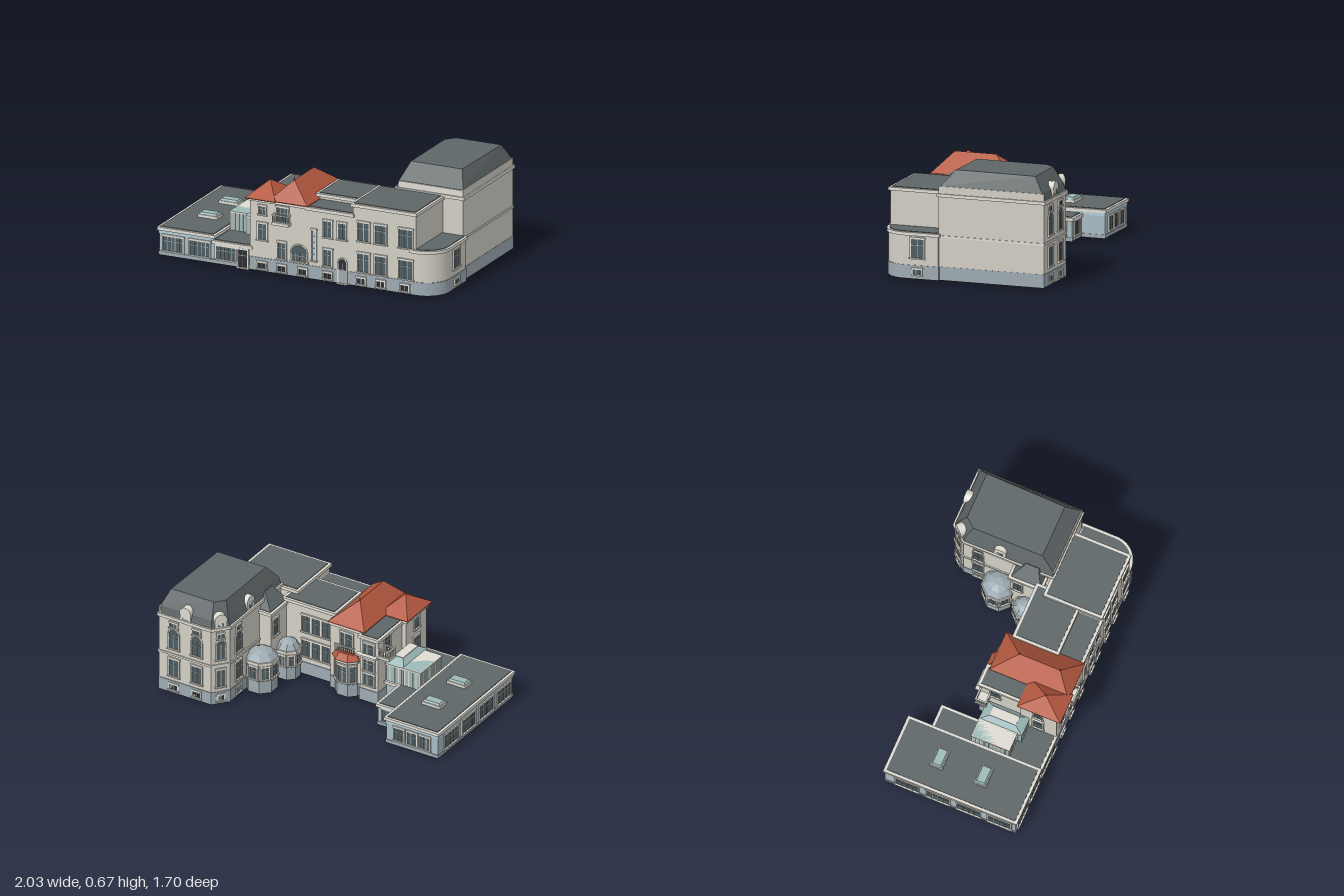
import * as THREE from 'three';

const mat = (color, extra = {}) => new THREE.MeshStandardMaterial({ color, ...extra });
const M = {
  wall: mat(0xd3cfc5), trim: mat(0xdedcd3), plinth: mat(0x9dabb2), slate: mat(0x5f6668), rust: mat(0xb4583f),
  glass: mat(0x4d5d63), bar: mat(0xa9b0ae), dark: mat(0x2b3032), base: mat(0x4b5052),
  annex: mat(0xa9bcc4), pane: mat(0x9dbab8), band: mat(0xb3cdd6),
};
const unit = new THREE.BoxGeometry(1, 1, 1);

// footprint helpers: corners run front-left, front-right, back-right, back-left
const rect = (u0, u1, v0, v1) => [[u0, v1], [u1, v1], [u1, v0], [u0, v0]];
const ngon = (cu, cv, r, n = 8) => Array.from({ length: n }, (_, i) => {
  const t = (i + 0.5) / n * Math.PI * 2;
  return [cu + r * Math.cos(t), cv - r * Math.sin(t)];
});
function grow(poly, d) {
  const n = poly.length;
  const normal = (a, b) => {
    const l = Math.hypot(b[0] - a[0], b[1] - a[1]);
    return [-(b[1] - a[1]) / l, (b[0] - a[0]) / l];
  };
  return poly.map((p, i) => {
    const a = normal(poly[(i + n - 1) % n], p), b = normal(p, poly[(i + 1) % n]);
    const k = d / (1 + a[0] * b[0] + a[1] * b[1]);
    return [p[0] + (a[0] + b[0]) * k, p[1] + (a[1] + b[1]) * k];
  });
}

export function createModel() {
  const model = new THREE.Group(), site = new THREE.Group();
  site.name = 'building';
  site.rotation.y = THREE.MathUtils.degToRad(23.2);
  model.add(site);

  function box(name, m, u, y, v, w, h, d, parent = site) {
    const b = new THREE.Mesh(unit, m);
    b.name = name;
    b.position.set(u, y, v);
    b.scale.set(w, h, d);
    parent.add(b);
    return b;
  }
  // solid skinned over stacked footprints [[polygon, height], ...]
  function loft(name, m, rings) {
    const pos = [], n = rings[0][0].length;
    const P = (r, i) => [rings[r][0][i % n][0], rings[r][1], rings[r][0][i % n][1]];
    for (let r = 0; r + 1 < rings.length; r++) for (let i = 0; i < n; i++)
      pos.push(...P(r, i), ...P(r, i + 1), ...P(r + 1, i + 1), ...P(r, i), ...P(r + 1, i + 1), ...P(r + 1, i));
    const t = rings.length - 1;
    for (let i = 1; i < n - 1; i++)
      pos.push(...P(t, 0), ...P(t, i), ...P(t, i + 1), ...P(0, 0), ...P(0, i + 1), ...P(0, i));
    const g = new THREE.BufferGeometry();
    g.setAttribute('position', new THREE.Float32BufferAttribute(pos, 3));
    g.computeVertexNormals();
    const mesh = new THREE.Mesh(g, m);
    mesh.name = name;
    site.add(mesh);
  }
  const prism = (name, m, poly, y0, y1) => loft(name, m, [[poly, y0], [poly, y1]]);
  // wing with foundation, plinth, walls, cornice and flat roof
  function wing(name, poly, h, { wall = M.wall, plinth = M.plinth, py = 0.085, roof = true } = {}) {
    prism(name + 'Foundation', M.base, poly, 0, 0.005);
    prism(name + 'Plinth', plinth, grow(poly, 0.004), 0.005, py);
    prism(name + 'Walls', wall, poly, py, h - 0.02);
    prism(name + 'Cornice', M.trim, grow(poly, 0.011), h - 0.02, h);
    if (roof) prism(name + 'Roof', M.slate, grow(poly, -0.006), h, h + 0.004);
  }
  const FRONT = 0, BACK = Math.PI, LEFT = -Math.PI / 2, RIGHT = Math.PI / 2;
  // window on a wall: y is its sill, w x h its opening
  function win(rot, u, v, y, w, h, cols = 2, { arch = false, m = M.glass, name = 'window', rows = [0.68] } = {}) {
    const g = new THREE.Group();
    g.name = name;
    g.position.set(u, y, v);
    g.rotation.y = rot;
    site.add(g);
    box('pane', m, 0, h / 2, 0, w, h, 0.008, g);
    for (const s of [-1, 1]) box('jamb', M.trim, s * (w / 2 + 0.004), h / 2, 0, 0.008, h, 0.018, g);
    box('sill', M.trim, 0, -0.004, 0.002, w + 0.024, 0.008, 0.024, g);
    for (let i = 1; i < cols; i++) box('mullion', M.bar, w * (i / cols - 0.5), h / 2, 0.002, 0.004, h, 0.011, g);
    for (const r of rows) box('transom', M.bar, 0, h * r, 0.002, w, 0.004, 0.011, g);
    if (arch) {
      const a = new THREE.Mesh(new THREE.CircleGeometry(w / 2, 16, 0, Math.PI), m);
      const b = new THREE.Mesh(new THREE.TorusGeometry(w / 2 + 0.003, 0.006, 4, 16, Math.PI), M.trim);
      a.position.set(0, h, 0.004);
      b.position.set(0, h, 0.003);
      a.name = 'archPane';
      b.name = 'archTrim';
      g.add(a, b);
    } else box('lintel', M.trim, 0, h + 0.006, 0, w + 0.02, 0.012, 0.02, g);
  }
  // straight railing between two plan points
  function rail(a, b, y, h = 0.045) {
    const n = Math.ceil(Math.hypot(b[0] - a[0], b[1] - a[1]) / 0.015);
    for (let i = 0; i <= n; i++)
      box('baluster', M.trim, a[0] + (b[0] - a[0]) * i / n, y + h / 2, a[1] + (b[1] - a[1]) * i / n, 0.005, h, 0.005);
    box('handrail', M.trim, (a[0] + b[0]) / 2, y + h, (a[1] + b[1]) / 2,
      Math.abs(b[0] - a[0]) + 0.01, 0.007, Math.abs(b[1] - a[1]) + 0.01);
  }
  function balcony(u0, u1, v0, v1, y, sides) {
    box('balconyFloor', M.trim, (u0 + u1) / 2, y - 0.01, (v0 + v1) / 2, u1 - u0, 0.018, v1 - v0);
    const c = rect(u0 + 0.005, u1 - 0.005, v0 + 0.005, v1 - 0.005);
    for (const s of sides) rail(c[s], c[(s + 1) % 4], y);
  }

  // low annex with skylights
  const blue = { wall: M.annex, plinth: M.plinth, py: 0.025 };
  wing('annex', rect(-0.94, -0.577, -0.343, 0.504), 0.178, blue);
  prism('annexBand', M.band, grow(rect(-0.94, -0.577, -0.343, 0.504), 0.003), 0.138, 0.158);
  for (const v of [-0.2, 0.0, 0.2, 0.4]) win(LEFT, -0.94, v, 0.035, 0.145, 0.09, 4);
  for (const u of [-0.845, -0.668]) win(FRONT, u, 0.504, 0.035, 0.13, 0.09, 5);
  for (const u of [-0.85, -0.76, -0.67]) win(BACK, u, -0.343, 0.04, 0.065, 0.085, 3);
  for (const v of [-0.07, 0.214]) {
    const r = rect(-0.81, -0.68, v - 0.04, v + 0.04);
    prism('skylightCurb', M.trim, r, 0.178, 0.2);
    loft('skylightGlass', M.pane, [[grow(r, -0.006), 0.2], [grow(r, -0.014), 0.212]]);
  }
  // low link between annex and tower
  wing('rearLink', rect(-0.577, -0.425, -0.192, 0.504), 0.147, blue);
  wing('frontLink', rect(-0.5, -0.33, 0.06, 0.504), 0.147, blue);
  win(FRONT, -0.494, 0.504, 0.035, 0.13, 0.08, 5);
  win(FRONT, -0.38, 0.506, 0.006, 0.06, 0.11, 2, { m: M.dark, name: 'linkDoor' });
  win(BACK, -0.5, -0.192, 0.035, 0.08, 0.085, 3);
  win(RIGHT, -0.425, -0.1, 0.035, 0.1, 0.085, 3);

  // glazed conservatory on the link roof
  function glassHouse(u0, u1, v0, v1, y0, y1) {
    const r = rect(u0, u1, v0, v1);
    prism('conservatoryGlass', M.pane, r, y0, y1);
    r.forEach((a, i) => {
      const b = r[(i + 1) % 4], n = Math.round(Math.hypot(b[0] - a[0], b[1] - a[1]) / 0.028);
      for (let k = 0; k < n; k++)
        box('glazingBar', M.trim, a[0] + (b[0] - a[0]) * k / n, (y0 + y1) / 2, a[1] + (b[1] - a[1]) * k / n, 0.006, y1 - y0, 0.006);
    });
    prism('conservatoryEave', M.trim, grow(r, 0.005), y1 - 0.01, y1);
  }
  glassHouse(-0.565, -0.43, 0.06, 0.3, 0.15, 0.272);
  glassHouse(-0.445, -0.325, 0.06, 0.33, 0.15, 0.268);
  loft('lanternRoof', M.pane, [[rect(-0.45, -0.32, 0.055, 0.335), 0.268], [rect(-0.415, -0.355, 0.11, 0.28), 0.303]]);
  box('lanternCap', M.trim, -0.385, 0.304, 0.195, 0.06, 0.006, 0.17);

  // tower with red hipped roofs
  wing('tower', rect(-0.185, 0.045, 0.03, 0.508), 0.458, { roof: false });
  wing('towerWing', rect(-0.333, -0.18, 0.275, 0.508), 0.458, { roof: false });
  wing('towerRear', rect(-0.305, -0.18, 0, 0.28), 0.45);
  loft('mainRoof', M.rust, [[rect(-0.2, 0.058, 0.016, 0.53), 0.455], [rect(-0.2, 0.058, 0.016, 0.53), 0.46],
    [[[-0.08, 0.425], [-0.08, 0.425], [-0.08, 0.16], [-0.08, 0.16]], 0.577]]);
  loft('sideRoof', M.rust, [[rect(-0.352, -0.15, 0.26, 0.542), 0.455], [rect(-0.352, -0.15, 0.26, 0.542), 0.46],
    [Array(4).fill([-0.25, 0.404]), 0.55]]);
  for (const [u, v, y] of [[-0.08, 0.425, 0.58], [-0.08, 0.16, 0.58], [-0.25, 0.404, 0.553]]) {
    const f = new THREE.Mesh(new THREE.ConeGeometry(0.005, 0.035, 6), M.rust);
    f.name = 'finial';
    f.position.set(u, y + 0.008, v);
    site.add(f);
  }
  const F = 0.508;
  win(FRONT, -0.25, F, 0.2, 0.055, 0.1);
  win(FRONT, -0.25, F, 0.36, 0.04, 0.05);
  win(FRONT, -0.115, F, 0.32, 0.07, 0.1, 3);
  balcony(-0.17, -0.06, F, 0.55, 0.335, [3, 0, 1]);
  win(FRONT, -0.12, F, 0.1, 0.045, 0.1);
  win(FRONT, -0.005, F, 0.1, 0.1, 0.05, 4, { arch: true, name: 'archWindow' });
  win(LEFT, -0.333, 0.39, 0.19, 0.06, 0.1);
  win(LEFT, -0.333, 0.39, 0.35, 0.05, 0.07);
  win(LEFT, -0.305, 0.1, 0.34, 0.06, 0.09);
  balcony(-0.385, -0.3, 0, 0.075, 0.34, [3, 0, 2]);
  for (const y of [0.12, 0.22, 0.33]) win(BACK, -0.245, 0, y, 0.07, 0.075, 3);
  box('rearCanopy', M.trim, -0.235, 0.325, -0.016, 0.14, 0.012, 0.035);
  // bay with red canopy behind the tower
  const bay = [[-0.145, 0.06], [0.005, 0.06], [0.005, 0.02], [-0.035, -0.02], [-0.105, -0.02], [-0.145, 0.02]];
  wing('rearBay', bay, 0.25);
  loft('rearBayCanopy', M.rust, [[grow(bay, 0.02), 0.25], [grow(bay, -0.01), 0.29]]);
  win(BACK, -0.07, -0.02, 0.1, 0.055, 0.11);
  win(-Math.PI * 0.75, -0.125, 0, 0.1, 0.035, 0.11, 1);
  win(Math.PI * 0.75, -0.015, 0, 0.1, 0.035, 0.11, 1);
  win(BACK, -0.07, 0.03, 0.3, 0.08, 0.11, 3);
  rail([-0.135, 0], [-0.005, 0], 0.288);

  // middle range
  wing('middleFront', rect(0.045, 0.35, 0.3, F), 0.452);
  wing('middleRear', rect(0.045, 0.395, 0.075, 0.355), 0.492);
  win(FRONT, 0.094, F, 0.12, 0.022, 0.19, 1, { m: M.band, name: 'stairWindow', rows: [0.2, 0.4, 0.6, 0.8] });
  for (const u of [0.186, 0.28]) win(FRONT, u, F, 0.28, 0.05, 0.1);
  win(FRONT, 0.186, F, 0.1, 0.05, 0.1);
  win(FRONT, 0.283, F, 0.006, 0.05, 0.125, 2, { arch: true, m: M.dark, name: 'frontDoor' });
  for (const y of [0.13, 0.3]) for (const u of [0.1, 0.17, 0.24]) win(BACK, u, 0.075, y, 0.055, 0.11);

  // right block and its rounded low corner
  wing('rightBlock', rect(0.35, 0.77, 0.145, F), 0.518);
  for (const y of [0.095, 0.29]) for (const [u, w] of [[0.425, 0.07], [0.537, 0.07], [0.705, 0.085]])
    win(FRONT, u, F, y, w, 0.115, w > 0.08 ? 3 : 2);
  const arc = Array.from({ length: 13 }, (_, i) => {
    const t = (1 - i / 12) * Math.PI / 2;
    return [0.775 + 0.148 * Math.cos(t), 0.36 + 0.148 * Math.sin(t)];
  });
  wing('roundCorner', [[0.74, 0.508], ...arc, [0.923, 0.146], [0.74, 0.146]], 0.285);
  win(RIGHT, 0.923, 0.276, 0.13, 0.08, 0.115);
  win(RIGHT, 0.926, 0.276, 0.03, 0.05, 0.03, 3, { rows: [] });
  for (const u of [-0.25, -0.12, 0.02, 0.186, 0.41, 0.54, 0.7])
    win(FRONT, u, F + 0.003, 0.02, 0.05, 0.035, 2, { m: M.dark, name: 'cellarWindow', rows: [] });

  // tall rear house with mansard roof and blank party wall
  const house = [[0.465, 0.145], [0.905, 0.145], [0.905, -0.525], [0.54, -0.525], [0.465, -0.435]];
  wing('house', house, 0.53, { roof: false });
  prism('houseStringCourse', M.trim, grow(house, 0.007), 0.262, 0.275);
  loft('mansardRoof', M.slate, [[house, 0.53],
    [[[0.478, 0.14], [0.903, 0.14], [0.903, -0.515], [0.546, -0.51], [0.479, -0.43]], 0.575],
    [[[0.515, 0.055], [0.855, 0.055], [0.865, -0.455], [0.565, -0.455], [0.515, -0.395]], 0.672]]);
  box('partyWall', M.wall, 0.902, 0.33, -0.19, 0.01, 0.49, 0.674);
  box('frontParapet', M.trim, 0.69, 0.545, 0.14, 0.43, 0.05, 0.014);
  const chamfer = Math.atan2(-0.09, -0.075);
  const bays = [[BACK, 0.64, -0.525, 0.065], [BACK, 0.8, -0.525, 0.065], [chamfer, 0.5025, -0.48, 0.05], [LEFT, 0.465, -0.34, 0.06]];
  for (const [rot, u, v, w] of bays) {
    win(rot, u, v, 0.12, w, 0.115);
    win(rot, u, v, 0.31, w, 0.1, 2, { arch: true });
    win(rot, u, v, 0.455, w * 0.7, 0.03, 2, { rows: [] });
    win(rot, u, v, 0.025, w * 0.8, 0.035, 2, { m: M.dark, name: 'cellarWindow', rows: [] });
  }
  for (const [rot, u, v] of [[BACK, 0.72, -0.5], [chamfer, 0.52, -0.465], [LEFT, 0.495, -0.2]]) {
    const d = new THREE.Group();
    d.name = 'dormer';
    d.position.set(u, 0.53, v);
    d.rotation.y = rot;
    site.add(d);
    box('dormerBody', M.trim, 0, 0.025, 0, 0.075, 0.05, 0.06, d);
    box('dormerPane', M.glass, 0, 0.028, 0.029, 0.04, 0.04, 0.006, d);
    const top = new THREE.Mesh(new THREE.CylinderGeometry(0.04, 0.04, 0.064, 14).rotateX(Math.PI / 2), M.trim);
    top.name = 'dormerArch';
    top.position.y = 0.05;
    d.add(top);
  }
  // stair block and garden bays in the inner corner
  wing('stairBlock', rect(0.385, 0.5, -0.1, 0.1), 0.47);
  loft('stairRoof', M.slate, [[rect(0.39, 0.5, -0.095, 0.095), 0.474], [rect(0.47, 0.5, -0.03, 0.05), 0.56]]);
  win(LEFT, 0.385, -0.05, 0.3, 0.05, 0.11);
  for (const [u, v, r, h] of [[0.4, -0.18, 0.095, 0.215], [0.336, 0.02, 0.07, 0.2]]) {
    const p = ngon(u, v, r);
    wing('gardenBay', p, h, { roof: false });
    loft('gardenBayRoof', M.plinth, [[grow(p, 0.004), h], [ngon(u, v, r * 0.72), h + 0.035], [ngon(u, v, r * 0.3), h + 0.052]]);
    for (let i = 0; i < 8; i++) {
      const t = i * Math.PI / 4, a = r * Math.cos(Math.PI / 8);
      win(t, u + a * Math.sin(t), v + a * Math.cos(t), 0.1, r * 0.5, h - 0.135);
    }
  }
  return model;
}
